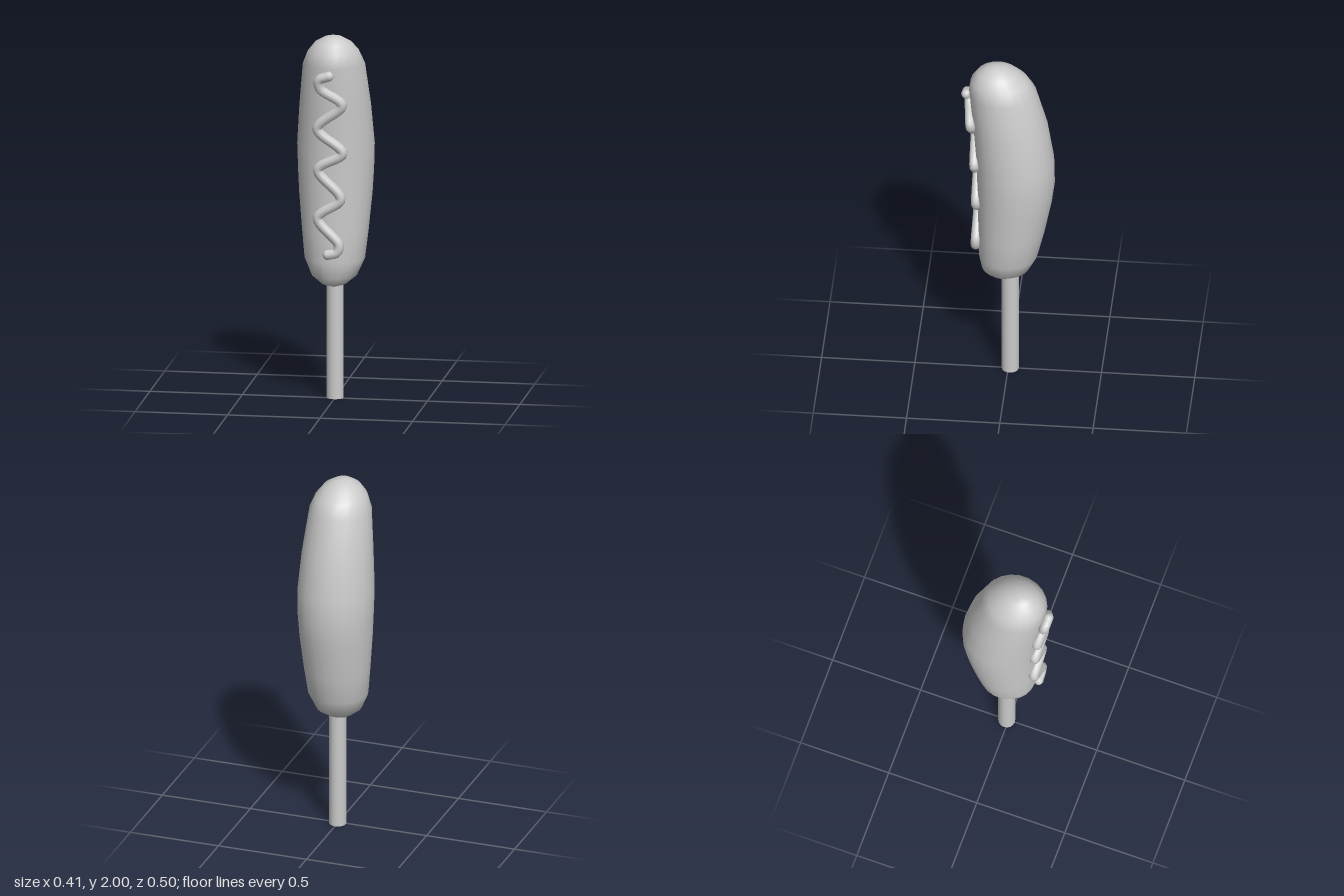
import * as THREE from 'three';

const material = new THREE.MeshStandardMaterial({ color: 0xcccccc });

function add(group, name, geometry, x = 0, y = 0, z = 0) {
  const mesh = new THREE.Mesh(geometry, material);
  mesh.name = name;
  mesh.position.set(x, y, z);
  group.add(mesh);
  return mesh;
}

// Smooth skin over elliptical rings [y, half width, front z, back z], closed by a pole at each end
function loft(rings, bottom, top, sides) {
  const points = [bottom];
  for (const [y, w, front, back] of rings) {
    for (let i = 0; i < sides; i++) {
      const a = (i / sides) * Math.PI * 2;
      points.push([w * Math.sin(a), y, (front + back) / 2 + ((front - back) / 2) * Math.cos(a)]);
    }
  }
  points.push(top);
  const last = points.length - 1;
  const index = [];
  for (let i = 0; i < sides; i++) {
    const j = (i + 1) % sides;
    index.push(0, 1 + j, 1 + i);
    for (let r = 0; r < rings.length - 1; r++) {
      const a = 1 + r * sides, b = a + sides;
      index.push(a + i, a + j, b + j, a + i, b + j, b + i);
    }
    index.push(last - sides + i, last - sides + j, last);
  }
  const geometry = new THREE.BufferGeometry();
  geometry.setAttribute('position', new THREE.Float32BufferAttribute(points.flat(), 3));
  geometry.setIndex(index);
  geometry.computeVertexNormals();
  return geometry;
}

export function createModel() {
  const group = new THREE.Group();
  group.name = 'cornDog';

  // Stick, running up into the batter
  add(group, 'stick', new THREE.CylinderGeometry(0.046, 0.046, 0.7, 16), 0, 0.35, -0.011);

  // Batter: fat curved body bulging towards the back
  const rings = [
    [0.635, 0.065, 0.1, -0.045],
    [0.68, 0.122, 0.142, -0.115],
    [0.77, 0.162, 0.158, -0.16],
    [0.92, 0.178, 0.16, -0.195],
    [1.12, 0.196, 0.164, -0.234],
    [1.25, 0.203, 0.167, -0.25],
    [1.39, 0.207, 0.172, -0.248],
    [1.61, 0.191, 0.188, -0.214],
    [1.84, 0.166, 0.21, -0.15],
    [1.91, 0.138, 0.2, -0.107],
    [1.96, 0.098, 0.165, -0.05],
    [1.988, 0.05, 0.12, 0.005],
  ];
  add(group, 'batter', loft(rings, [0, 0.617, 0.045], [0, 2, 0.07], 22));

  // Sauce: zigzag squeezed down the front
  const path = [
    [0.002, 1.808, 0.225], [-0.052, 1.785, 0.222], [-0.045, 1.735, 0.213],
    [0.07, 1.645, 0.197], [-0.067, 1.512, 0.183],
    [0.07, 1.378, 0.176], [-0.065, 1.285, 0.17],
    [0.058, 1.125, 0.168], [-0.067, 1.02, 0.166],
    [0.048, 0.875, 0.17], [0.035, 0.832, 0.172], [-0.012, 0.82, 0.174],
  ].map((p) => new THREE.Vector3(...p));
  const curve = new THREE.CatmullRomCurve3(path);
  const radius = 0.027;
  add(group, 'sauce', new THREE.TubeGeometry(curve, 100, radius, 10));
  for (const end of [path[0], path[path.length - 1]]) {
    add(group, 'sauceEnd', new THREE.SphereGeometry(radius, 12, 8), end.x, end.y, end.z);
  }

  return group;
}
